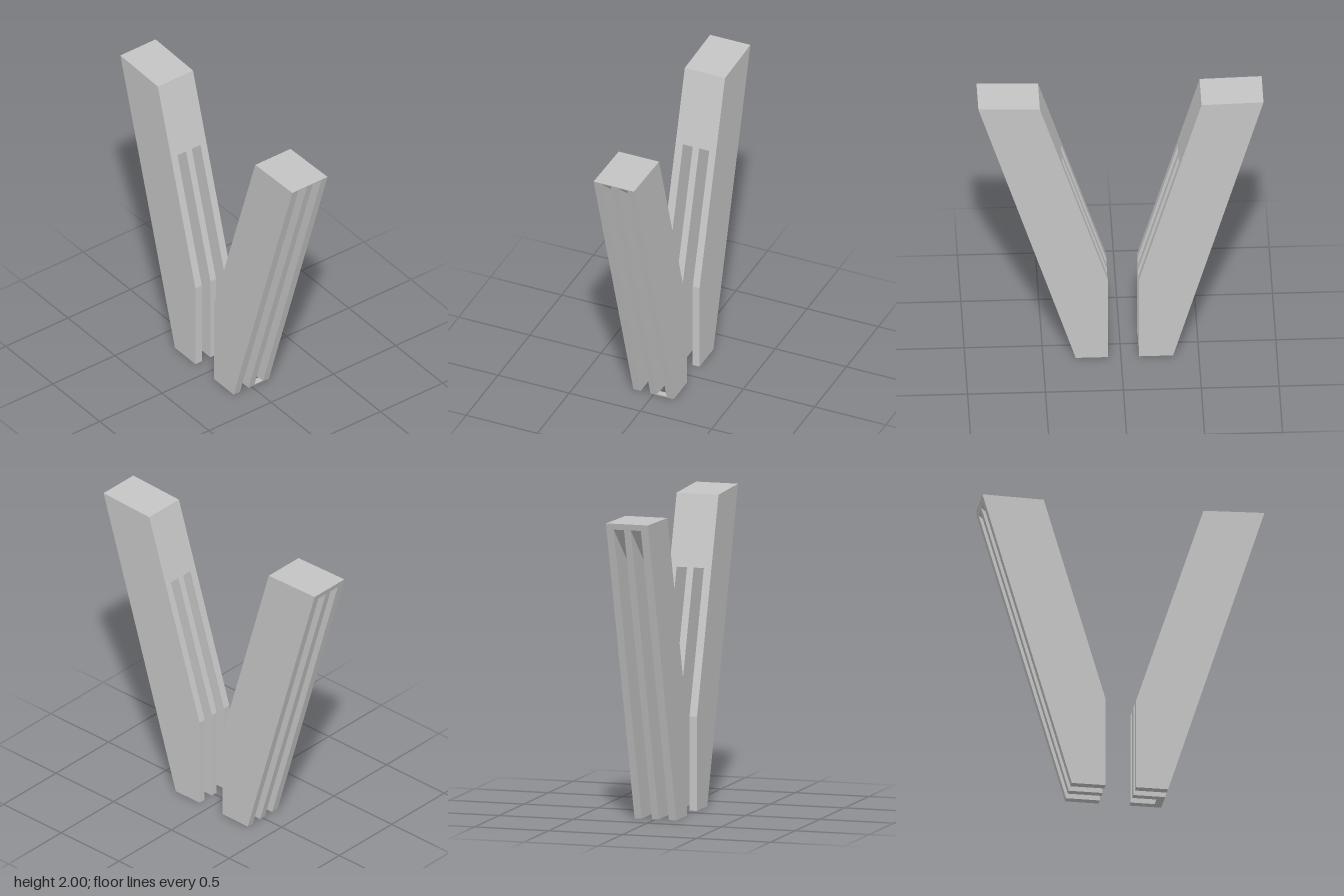
import * as THREE from 'three';

const stone = new THREE.MeshStandardMaterial({ color: 0xc4c4c4 });
stone.name = 'light grey';

// Extrudes a [z, y] outline across x from x0 to x1
function slab(name, outline, x0, x1) {
  const shape = new THREE.Shape(outline.map(([z, y]) => new THREE.Vector2(z, y)));
  const geo = new THREE.ExtrudeGeometry(shape, { depth: x1 - x0, bevelEnabled: false });
  geo.rotateY(-Math.PI / 2).translate(x1, 0, 0);
  const mesh = new THREE.Mesh(geo, stone);
  mesh.name = name;
  return mesh;
}

const RIBS = [[-0.143, -0.092], [-0.023, 0.022], [0.092, 0.14]];
const SLOTS = [[-0.092, -0.023], [0.022, 0.092]];

// Leaning tower: three full-height ribs joined by a solid head above the slots
function tower(name, profile, head) {
  const group = new THREE.Group();
  group.name = name;
  for (const [a, b] of RIBS) group.add(slab('rib', profile, a, b));
  for (const [a, b] of SLOTS) group.add(slab('headFill', head, a, b));
  return group;
}

export function createModel() {
  const model = new THREE.Group();
  model.name = 'twinLeaningTowers';

  const front = tower('frontTower',
    [[0.29, 0], [0.915, 2], [0.52, 1.987], [0.083, 0.61], [0.083, 0]],
    [[0.913, 1.993], [0.915, 2], [0.52, 1.987], [0.375, 1.53]]);
  // Thin sill left across the foot of one slot
  front.add(slab('footSill', [[0.24, 0], [0.29, 0], [0.293, 0.01]], ...SLOTS[1]));

  const back = tower('backTower',
    [[-0.335, 0], [-0.915, 2], [-0.517, 1.99], [-0.116, 0.61], [-0.116, 0]],
    [[-0.903, 1.96], [-0.915, 2], [-0.517, 1.99], [-0.375, 1.5]]);

  model.add(front, back);
  return model;
}
